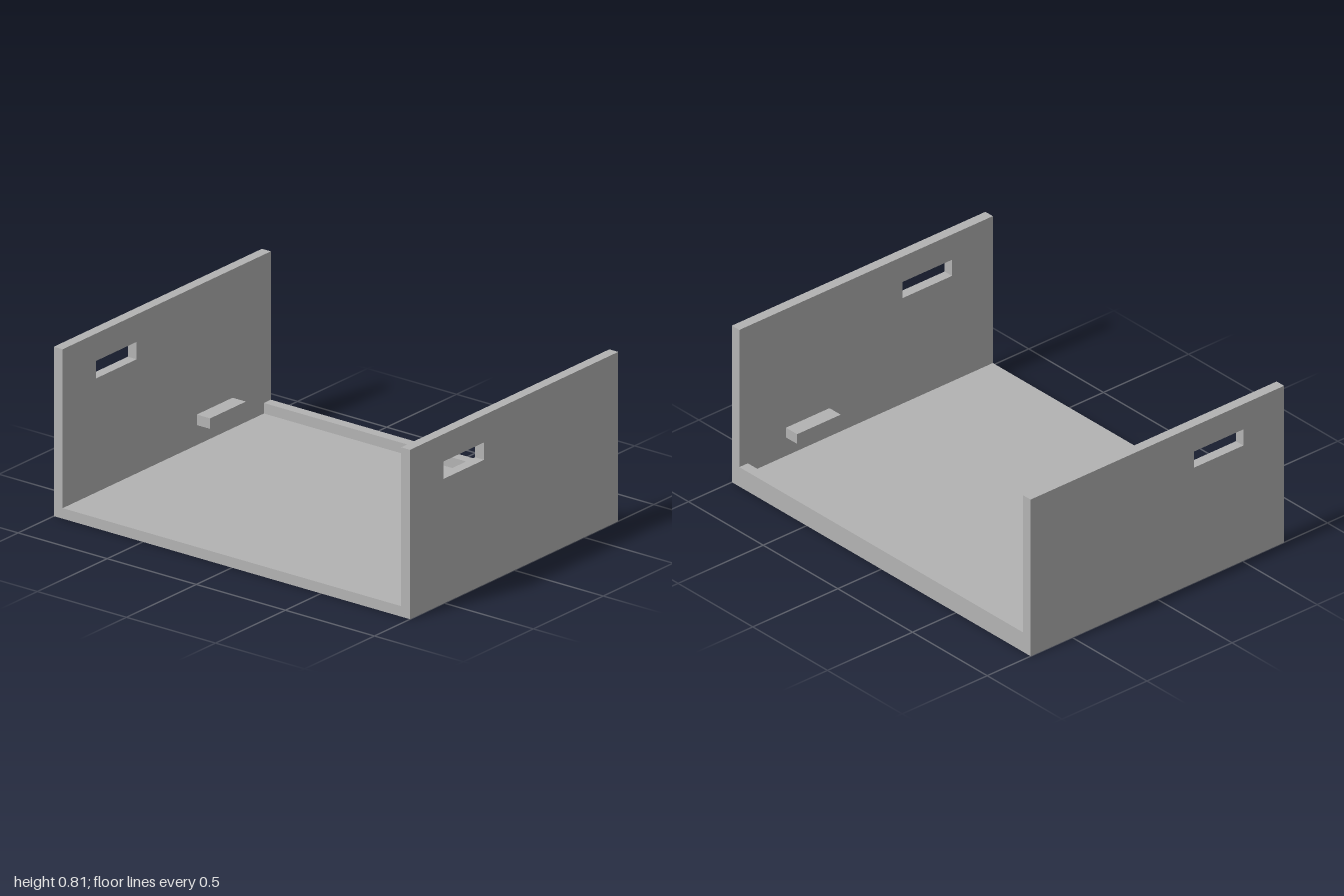
import * as THREE from 'three';

const W = 2, H = 0.805, D = 1.49, T = 0.05; // overall size and board thickness

export function createModel() {
  const group = new THREE.Group();
  const grey = new THREE.MeshStandardMaterial({ color: 0xb3b3b3 });
  grey.name = 'grey';

  const add = (name, geometry, x, y, z) => {
    const mesh = new THREE.Mesh(geometry, grey);
    mesh.name = name;
    mesh.position.set(x, y, z);
    group.add(mesh);
  };
  const rect = (path, x0, y0, x1, y1) =>
    path.moveTo(x0, y0).lineTo(x1, y0).lineTo(x1, y1).lineTo(x0, y1).closePath();

  // Floor board and low rear lip, fitted between the side walls
  const inner = W - 2 * T;
  add('floor', new THREE.BoxGeometry(inner, T, D), 0, T / 2, 0);
  add('rearLip', new THREE.BoxGeometry(inner, T, T), 0, 1.5 * T, -D / 2 + T / 2);

  // Side wall outline (shape x runs towards the back) with a handle slot
  const wall = new THREE.Shape();
  rect(wall, -D / 2, 0, D / 2, H);
  const slot = new THREE.Path();
  rect(slot, -0.505, 0.592, -0.215, 0.675);
  wall.holes.push(slot);
  const wallGeometry = new THREE.ExtrudeGeometry(wall, { depth: T, bevelEnabled: false });
  wallGeometry.rotateY(Math.PI / 2).translate(-T / 2, 0, 0);

  // Walls and inner support blocks, one pair per side
  const blockGeometry = new THREE.BoxGeometry(0.075, T, 0.256);
  for (const [side, s] of [['left', 1], ['right', -1]]) {
    add(side + 'Wall', wallGeometry, s * (W / 2 - T / 2), 0, 0);
    add(side + 'SupportBlock', blockGeometry, s * 0.9125, 0.17, -0.343);
  }
  return group;
}
